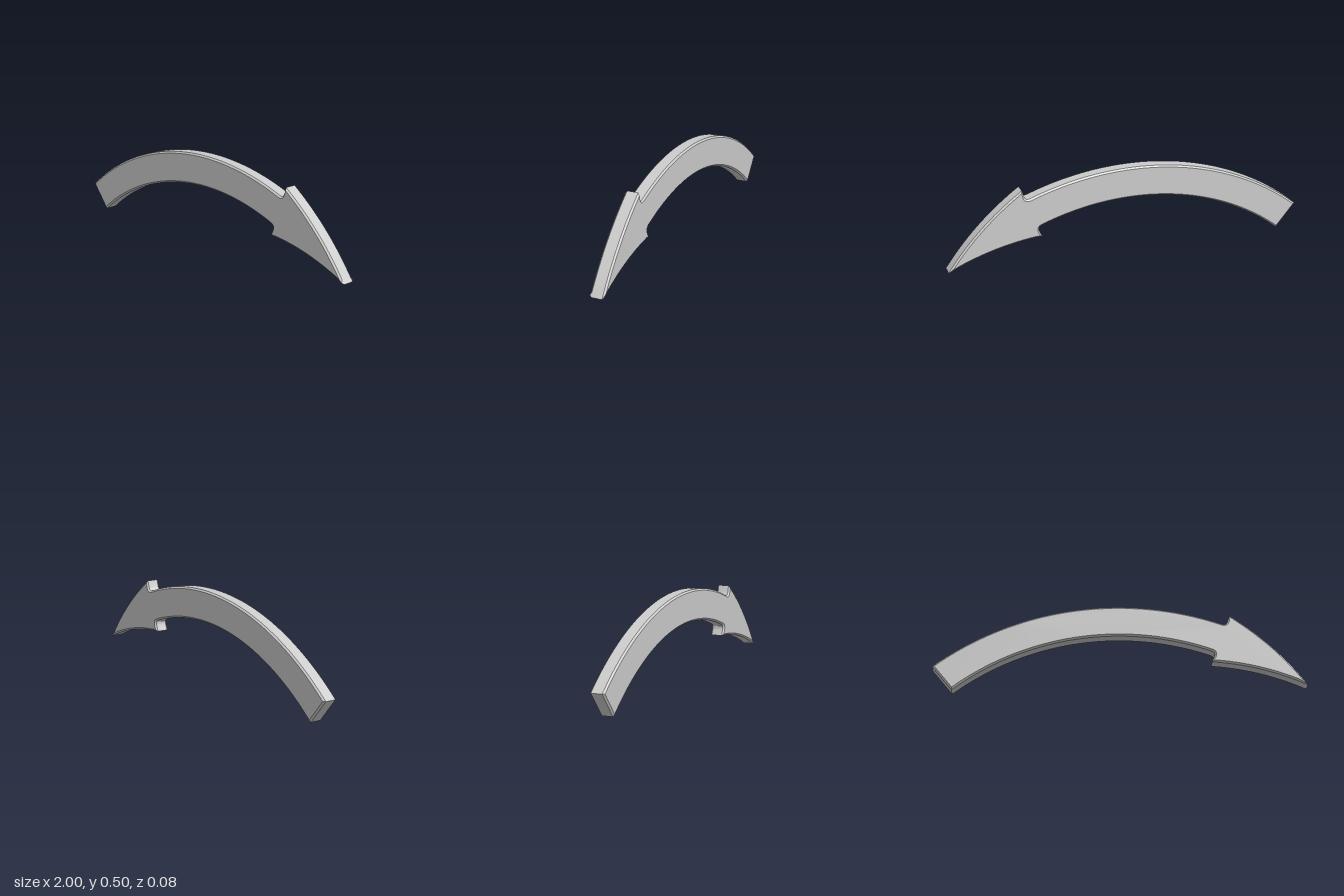
import * as THREE from 'three';
import { toCreasedNormals } from 'three/addons/utils/BufferGeometryUtils.js';

// Everything follows arcs about one centre below the model.
const CX = 0.02, CY = -1.088;
const OUTER = 1.592, INNER = 1.42;
const TAIL = 129.9, NECK = 70.6, BARB = 69.8, TIP = 49.6, TIP_R = 1.512;

const polar = (r, deg) => {
  const a = THREE.MathUtils.degToRad(deg);
  return new THREE.Vector2(CX + r * Math.cos(a), CY + r * Math.sin(a));
};

// Points along an arc whose radius and angle change evenly, both ends included
const sweep = (r0, a0, r1, a1, n) =>
  Array.from({ length: n + 1 }, (_, i) =>
    polar(THREE.MathUtils.lerp(r0, r1, i / n), THREE.MathUtils.lerp(a0, a1, i / n)));

// Small rounded inner corner between the shaft and a barb
const fillet = (r, side) =>
  new THREE.QuadraticBezierCurve(
    polar(r, NECK), polar(r, BARB - 0.1), polar(r + side * 0.025, BARB - 0.1),
  ).getPoints(4);

export function createModel() {
  const group = new THREE.Group();
  group.name = 'curvedArrow';

  const outline = [
    ...sweep(OUTER, TAIL, OUTER, NECK, 48).slice(0, -1),             // top of the shaft
    ...fillet(OUTER, 1),
    ...sweep(1.655, BARB, TIP_R, TIP, 20),                          // top of the head
    ...sweep(TIP_R, TIP, 1.36, BARB, 20).slice(1),                  // underside of the head
    ...fillet(INNER, -1).reverse(),
    ...sweep(INNER, NECK, INNER, TAIL, 48).slice(1),                // underside of the shaft
  ];

  // Flat plate with chamfered rims front and back
  const geometry = new THREE.ExtrudeGeometry(new THREE.Shape(outline), {
    depth: 0.06,
    bevelEnabled: true,
    bevelThickness: 0.009,
    bevelSize: 0.009,
    bevelOffset: -0.009,
    bevelSegments: 1,
  });
  geometry.translate(0, 0, -0.03);

  const arrow = new THREE.Mesh(
    toCreasedNormals(geometry, 0.4),
    new THREE.MeshStandardMaterial({ color: 0xcccccc }),
  );
  arrow.name = 'arrowPlate';
  group.add(arrow);
  return group;
}
